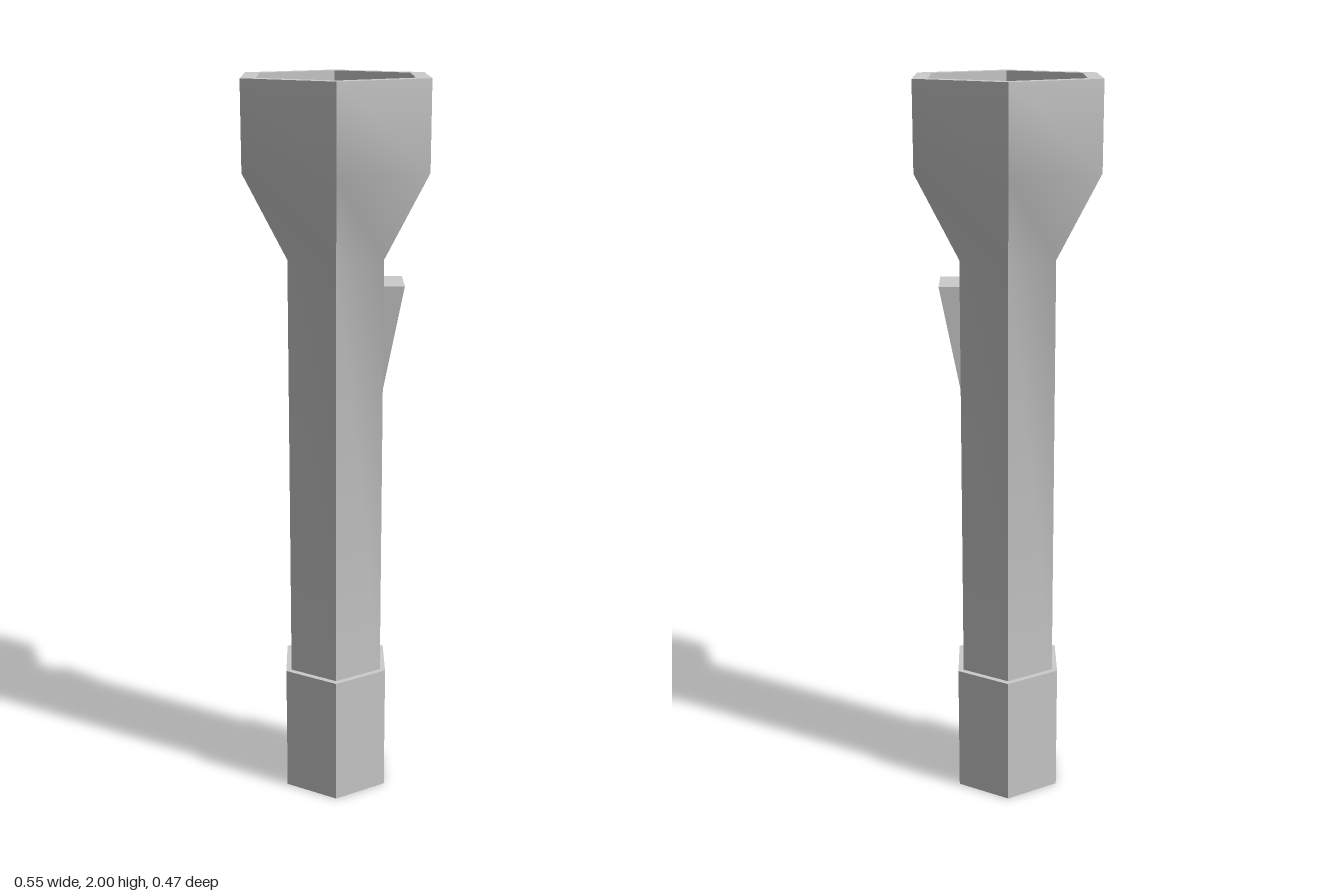
import * as THREE from 'three';
import { toCreasedNormals } from 'three/addons/utils/BufferGeometryUtils.js';

const BODY_R = 0.145;
const material = new THREE.MeshStandardMaterial({ color: 0xcccccc });

function part(name, geometry) {
  // smooth along the profile, sharp at the hexagon's edges
  const mesh = new THREE.Mesh(toCreasedNormals(geometry, 0.7), material);
  mesh.name = name;
  return mesh;
}

// Six-sided turned part, corners on the x axis; profile is [radius, y] from the bottom up
function hexPart(name, profile) {
  const points = profile.map(([r, y]) => new THREE.Vector2(r, y));
  return part(name, new THREE.LatheGeometry(points, 6, Math.PI / 2));
}

export function createModel() {
  const group = new THREE.Group();
  group.name = 'flashlight';

  // End cap with a small step up to the body
  group.add(hexPart('endCap', [[0, 0], [0.162, 0], [0.162, 0.365], [BODY_R, 0.365]]));

  // Body flaring into the head, with rim and recess wall
  group.add(hexPart('bodyAndHead', [
    [BODY_R, 0.365], [BODY_R, 1.54], [0.273, 1.77], [0.273, 2], [0.228, 2], [0.228, 1.945],
  ]));

  // Lens at the bottom of the recess
  group.add(hexPart('lens', [[0.228, 1.945], [0, 1.945]]));

  // Wedge switch covering the front-left face of the body
  const apothem = BODY_R * Math.cos(Math.PI / 6);
  const wedge = new THREE.Shape([
    new THREE.Vector2(apothem, 1.19),
    new THREE.Vector2(apothem + 0.055, 1.47),
    new THREE.Vector2(apothem, 1.47),
  ]);
  const wedgeGeometry = new THREE.ExtrudeGeometry(wedge, { depth: BODY_R, bevelEnabled: false });
  wedgeGeometry.translate(0, 0, -BODY_R / 2).rotateY(-Math.PI / 6);
  group.add(part('switch', wedgeGeometry));

  return group;
}
